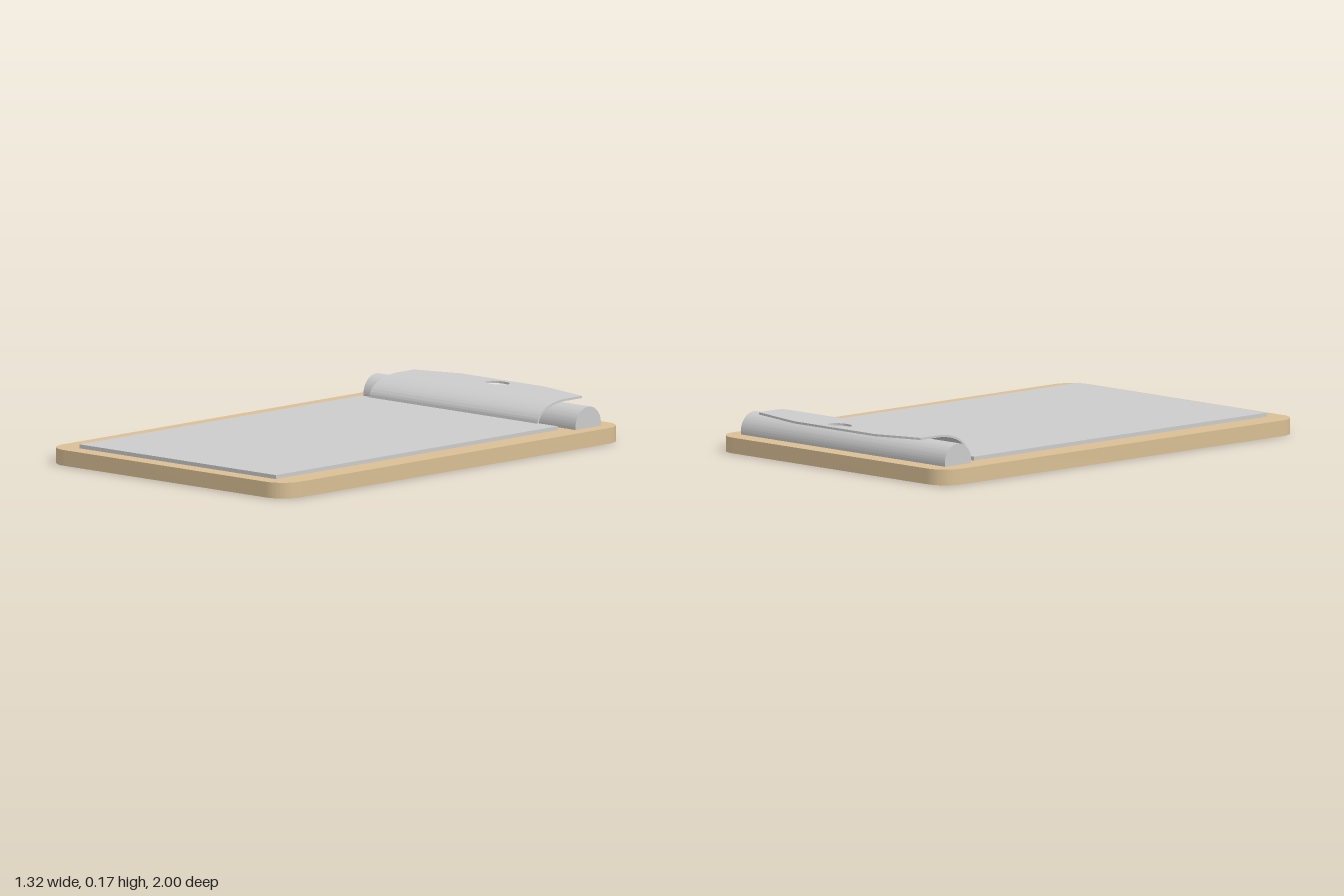
import * as THREE from 'three';
import { toCreasedNormals } from 'three/addons/utils/BufferGeometryUtils.js';

const grey = new THREE.MeshStandardMaterial({ color: 0xcccccc });
const wood = new THREE.MeshStandardMaterial({ color: 0xd9bf95 });

function addPart(parent, name, geometry, material = grey) {
  const mesh = new THREE.Mesh(toCreasedNormals(geometry, 0.5), material);
  mesh.name = name;
  parent.add(mesh);
}

// Plan outline (x, -z) raised from y0 to y1
function slab(shape, y0, y1) {
  return new THREE.ExtrudeGeometry(shape, { depth: y1 - y0, bevelEnabled: false, curveSegments: 16 })
    .rotateX(-Math.PI / 2).translate(0, y0, 0);
}

// Side profile (-z, y) swept from x0 to x1
function sweep(shape, x0, x1) {
  return new THREE.ExtrudeGeometry(shape, { depth: x1 - x0, bevelEnabled: false, curveSegments: 24 })
    .rotateY(Math.PI / 2).translate(x0, 0, 0);
}

function roundedRect(hx, hz, r) {
  const s = new THREE.Shape();
  s.absarc(hx - r, hz - r, r, 0, Math.PI / 2);
  s.absarc(-hx + r, hz - r, r, Math.PI / 2, Math.PI);
  s.absarc(-hx + r, -hz + r, r, Math.PI, Math.PI * 1.5);
  s.absarc(hx - r, -hz + r, r, Math.PI * 1.5, Math.PI * 2);
  s.closePath();
  return s;
}

export function createModel() {
  const model = new THREE.Group();
  model.name = 'clipboard';

  // Board and paper
  addPart(model, 'board', slab(roundedRect(0.66, 1, 0.1), 0, 0.064), wood);
  addPart(model, 'paper', new THREE.BoxGeometry(1.09, 0.016, 1.645).translate(0, 0.072, 0.1025));

  // Hinge bar: round top with a flat base on the board
  const barProfile = new THREE.Shape();
  const dip = Math.asin(0.013 / 0.074);
  barProfile.absarc(0.845, 0.077, 0.074, -dip, Math.PI + dip);
  barProfile.closePath();
  addPart(model, 'hingeBar', sweep(barProfile, -0.58, 0.597));

  // Clip: curved jaw in front, flat tapered lever with a hanging hole behind
  const clip = new THREE.Group();
  clip.name = 'clip';
  model.add(clip);
  const x0 = -0.457, x1 = 0.477;

  const jaw = new THREE.Shape();
  jaw.absellipse(0.84, 0.088, 0.165, 0.082, Math.PI, Math.PI / 2, true);
  jaw.lineTo(0.84, 0.161);
  jaw.absellipse(0.84, 0.088, 0.156, 0.073, Math.PI / 2, Math.PI, false);
  jaw.closePath();
  addPart(clip, 'clipJaw', sweep(jaw, x0, x1));

  const lever = new THREE.Shape([
    [x0, 0.84], [x1, 0.84], [x1, 0.935], [0.209, 0.997], [-0.257, 0.997], [x0, 0.935],
  ].map(([x, y]) => new THREE.Vector2(x, y)));
  const hole = new THREE.Path();
  hole.absellipse(0.01, 0.933, 0.058, 0.038, 0, Math.PI * 2, true);
  lever.holes.push(hole);
  addPart(clip, 'clipLever', slab(lever, 0.161, 0.17));

  return model;
}
